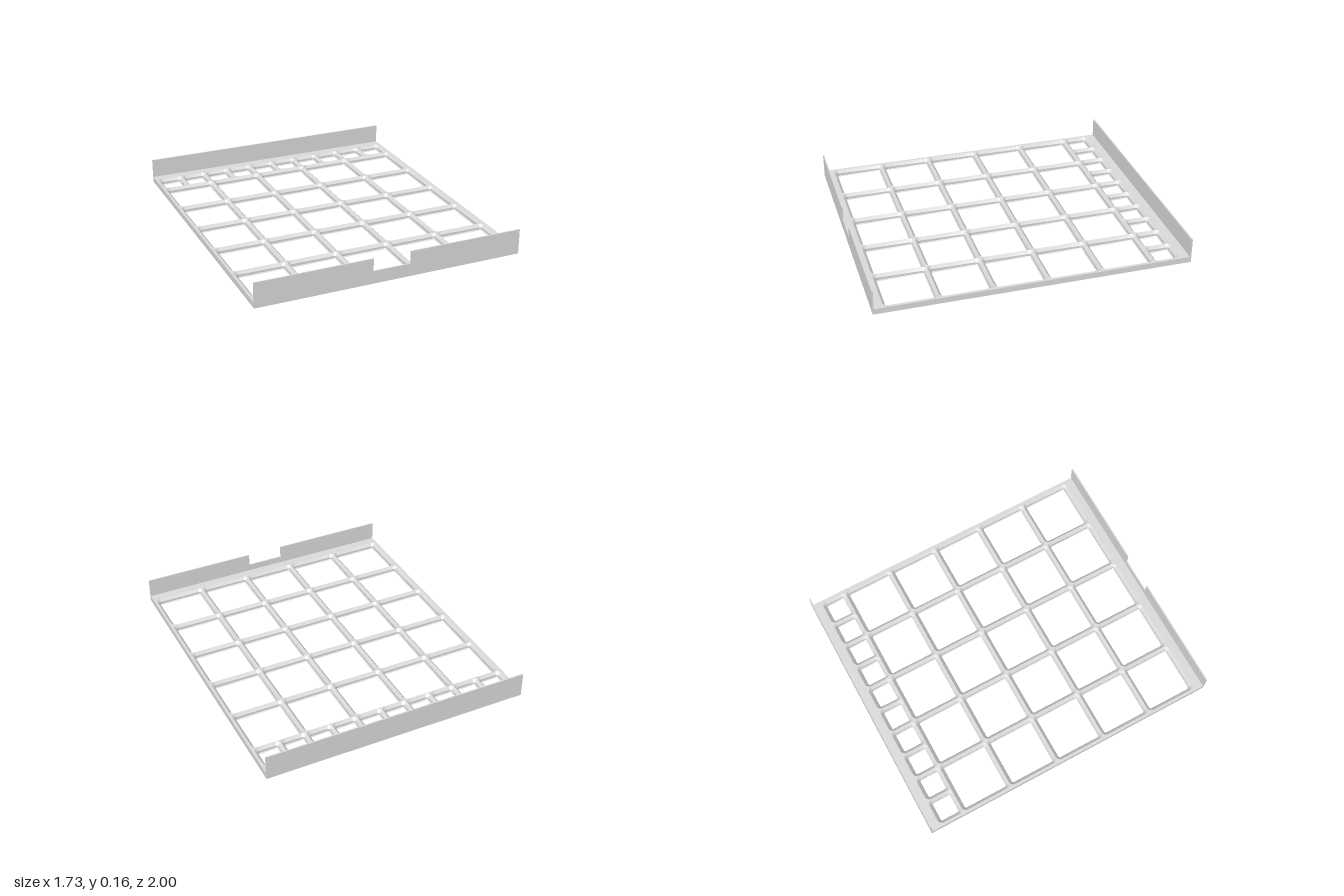
import * as THREE from 'three';
import { toCreasedNormals } from 'three/addons/utils/BufferGeometryUtils.js';

const W = 0.867, D = 1, WALL = 0.008, BASE_H = 0.0375, WALL_H = 0.163;
const PITCH = 0.34, CORNER = 0.0324, GAP = 0.0008;
// Pocket profile from rim to floor: [inset, height]
const PROFILE = [[0, BASE_H], [0.0174, 0.0202], [0.0174, 0.0057], [0.0231, 0]];

// Rounded rectangle as [x, z] points, counter-clockwise seen from above
function outline(cell, inset) {
  const r = CORNER - inset, c = cell.size / 2 - GAP - CORNER, pts = [];
  for (let q = 0; q < 4; q++) {
    const sx = q === 0 || q === 3 ? 1 : -1, sy = q < 2 ? 1 : -1;
    for (let i = 0; i <= 6; i++) {
      const a = (q + i / 6) * Math.PI / 2;
      pts.push([cell.x + sx * c + r * Math.cos(a), cell.z - sy * c - r * Math.sin(a)]);
    }
  }
  return pts;
}

// Inward-facing stepped walls of one pocket
function pocketGeometry(cell) {
  const pos = [], idx = [];
  const rings = PROFILE.map(([inset]) => outline(cell, inset));
  const n = rings[0].length;
  rings.forEach((ring, k) => ring.forEach(([x, z]) => pos.push(x, PROFILE[k][1], z)));
  for (let k = 0; k < rings.length - 1; k++) {
    for (let i = 0; i < n; i++) {
      const j = (i + 1) % n;
      const a = k * n + i, b = k * n + j, c = a + n, d = b + n;
      idx.push(a, b, d, a, d, c);
    }
  }
  const g = new THREE.BufferGeometry();
  g.setAttribute('position', new THREE.Float32BufferAttribute(pos, 3));
  g.setIndex(idx);
  return toCreasedNormals(g, 0.5);
}

// Flat lattice face with pocket openings; up = 1 faces up, -1 faces down
function latticeFace(cells, inset, up) {
  const d = D - WALL;
  const shape = new THREE.Shape([[-W, -d], [W, -d], [W, d], [-W, d]].map(p => new THREE.Vector2(...p)));
  for (const cell of cells) {
    shape.holes.push(new THREE.Path(outline(cell, inset).map(([x, z]) => new THREE.Vector2(x, -up * z))));
  }
  return new THREE.ShapeGeometry(shape).rotateX(-up * Math.PI / 2);
}

// Upright end wall, optionally notched at the middle of its top edge
function endWall(notched) {
  const pts = [[-W, 0], [W, 0], [W, WALL_H]];
  if (notched) pts.push([0.122, WALL_H], [0.122, 0.082], [-0.122, 0.082], [-0.122, WALL_H]);
  pts.push([-W, WALL_H]);
  const shape = new THREE.Shape(pts.map(p => new THREE.Vector2(...p)));
  return new THREE.ExtrudeGeometry(shape, { depth: WALL, bevelEnabled: false });
}

export function createModel() {
  const model = new THREE.Group();
  model.name = 'gridTray';
  const grey = new THREE.MeshStandardMaterial({ color: 0xd9d9d9 });
  grey.name = 'lightGrey';
  const add = (name, geometry, parent = model) => {
    const mesh = new THREE.Mesh(geometry, grey);
    mesh.name = name;
    parent.add(mesh);
    return mesh;
  };

  // Five rows of large pockets and one row of half-size pockets at the back
  const cells = [];
  const back = -2.75 * PITCH;
  for (let i = 0; i < 10; i++) {
    cells.push({ x: (i - 4.5) * PITCH / 2, z: back + PITCH / 4, size: PITCH / 2 });
  }
  for (let row = 0; row < 5; row++) {
    for (let col = 0; col < 5; col++) {
      cells.push({ x: (col - 2) * PITCH, z: back + (row + 1) * PITCH, size: PITCH });
    }
  }

  // Lattice base
  add('latticeTop', latticeFace(cells, 0, 1)).position.y = BASE_H;
  add('latticeBottom', latticeFace(cells, PROFILE[3][0], -1));
  const pockets = new THREE.Group();
  pockets.name = 'pockets';
  model.add(pockets);
  for (const cell of cells) add(cell.size < PITCH ? 'smallPocket' : 'largePocket', pocketGeometry(cell), pockets);

  // Outer side edges
  for (const s of [-1, 1]) {
    const edge = add(s > 0 ? 'leftEdge' : 'rightEdge', new THREE.PlaneGeometry(2 * (D - WALL), BASE_H));
    edge.position.set(s * W, BASE_H / 2, 0);
    edge.rotation.y = s * Math.PI / 2;
  }

  // End walls
  add('frontWall', endWall(true)).position.z = D - WALL;
  add('backWall', endWall(false)).position.z = -D;
  return model;
}
